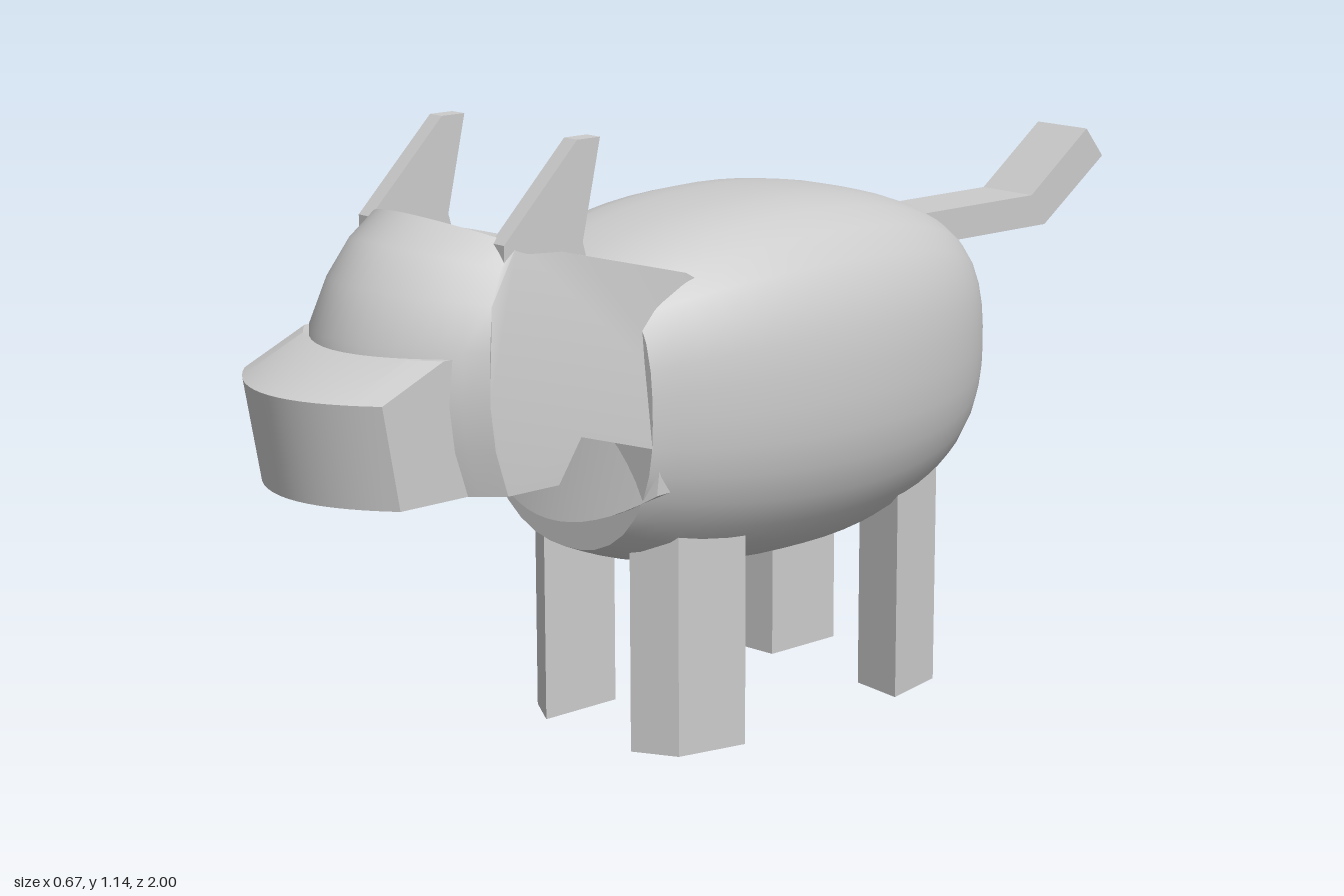
import * as THREE from 'three';
import { mergeVertices, toCreasedNormals } from 'three/addons/utils/BufferGeometryUtils.js';

const material = new THREE.MeshStandardMaterial({ color: 0xcccccc });

// Move every vertex of a geometry by a rule
function warp(geo, rule) {
  const p = geo.attributes.position;
  const v = new THREE.Vector3();
  for (let i = 0; i < p.count; i++) {
    v.fromBufferAttribute(p, i);
    rule(v);
    p.setXYZ(i, v.x, v.y, v.z);
  }
  return geo;
}

// Side profile of [z, y] points, extruded across x and centred on x = 0
function slab(profile, width, rule, steps = 1) {
  const shape = new THREE.Shape(profile.map(([z, y]) => new THREE.Vector2(z, y)));
  const geo = new THREE.ExtrudeGeometry(shape, { depth: width, steps, bevelEnabled: false });
  geo.translate(0, 0, -width / 2).rotateY(-Math.PI / 2);
  if (rule) warp(geo, rule);
  return toCreasedNormals(geo, 0.5);
}

export function createModel() {
  const model = new THREE.Group();
  model.name = 'animal';
  const add = (name, geo) => {
    const mesh = new THREE.Mesh(geo, material);
    mesh.name = name;
    model.add(mesh);
    return mesh;
  };

  // Body: full egg with squared shoulders and a flat chest
  let body = new THREE.SphereGeometry(1, 36, 32).rotateX(Math.PI / 2);
  warp(body, (v) => {
    const s = Math.max(Math.hypot(v.x, v.y), 1e-6);
    const n = v.y > 0 ? 2.8 : 2.25;
    const square = (Math.abs(v.x / s) ** n + Math.abs(v.y / s) ** n) ** (-1 / n);
    v.x *= 0.335 * square * s ** -0.05;
    v.y = 0.64 + v.y * (v.y > 0 ? 0.337 : 0.347) * square * s ** -0.27;
    v.z = Math.min(-0.06 + v.z * (v.z > 0 ? 0.61 : 0.55), 0.37);
  });
  body.deleteAttribute('uv');
  body.deleteAttribute('normal');
  body = mergeVertices(body, 1e-4);
  add('body', toCreasedNormals(body, 0.6));

  // Head and neck: one profile, bowed forward in the middle, narrower on top
  const headProfile = [
    [0.69, 0.57], [0.715, 0.65], [0.725, 0.73], [0.72, 0.82], [0.7, 0.89], [0.67, 0.945], [0.63, 0.985],
    [0.5, 0.95], [0.4, 0.925], [0.27, 0.89], [0.12, 0.8], [0.12, 0.52],
    [0.36, 0.51], [0.35, 0.59], [0.53, 0.645], [0.58, 0.57],
  ];
  add('head', slab(headProfile, 0.48, (v) => {
    const t = 1 - (v.x / 0.24) ** 2;
    const front = THREE.MathUtils.smoothstep(v.z, 0.58, 0.7);
    const top = THREE.MathUtils.smoothstep(v.y, 0.78, 0.98);
    const raise = 0.035 * t * top * THREE.MathUtils.smoothstep(v.z, 0.5, 0.62);
    const lowChest = v.y < 0.55 && v.z < 0.45;
    v.x *= 1 - 0.17 * top;
    v.z += t * (lowChest ? 0.05 : v.y < 0.66 && v.z < 0.6 ? 0.03 : 0.06 + 0.09 * front * (1 - 0.4 * top));
    v.y += lowChest ? -0.08 * t : raise;
  }, 16));

  // Snout with a curved front
  const snoutProfile = [[0.88, 0.57], [0.912, 0.752], [0.785, 0.808], [0.6, 0.808], [0.6, 0.57]];
  add('snout', slab(snoutProfile, 0.39, (v) => {
    if (v.z > 0.7) v.z += 0.088 * (1 - (v.x / 0.195) ** 2);
  }, 16));

  // Ears
  const earProfile = [[0.66, 0.9], [0.66, 0.985], [0.5, 1.145], [0.45, 1.145], [0.49, 0.97], [0.47, 0.9]];
  for (const side of [1, -1]) {
    const ear = add(side > 0 ? 'leftEar' : 'rightEar', slab(earProfile, 0.034));
    ear.position.x = side * 0.184;
  }

  // Legs: posts with a slanted outer face, mirrored across both axes
  const foot = [[0.12, 0.32], [0.2, 0.275], [0.23, 0.14], [0.12, 0.15]];
  for (const side of [1, -1]) {
    for (const front of [true, false]) {
      const outline = foot.map(([x, z]) => new THREE.Vector2(side * x, front ? -z : 0.11 + z));
      const geo = new THREE.ExtrudeGeometry(new THREE.Shape(outline), { depth: 0.45, bevelEnabled: false });
      geo.rotateX(-Math.PI / 2);
      add((front ? 'front' : 'back') + (side > 0 ? 'LeftLeg' : 'RightLeg'), geo);
    }
  }

  // Tail with an upturned tip
  add('tail', slab([
    [-0.48, 0.82], [-0.48, 0.883], [-0.79, 0.883], [-0.95, 1.0], [-1.0, 0.94], [-0.83, 0.82],
  ], 0.13));

  return model;
}
